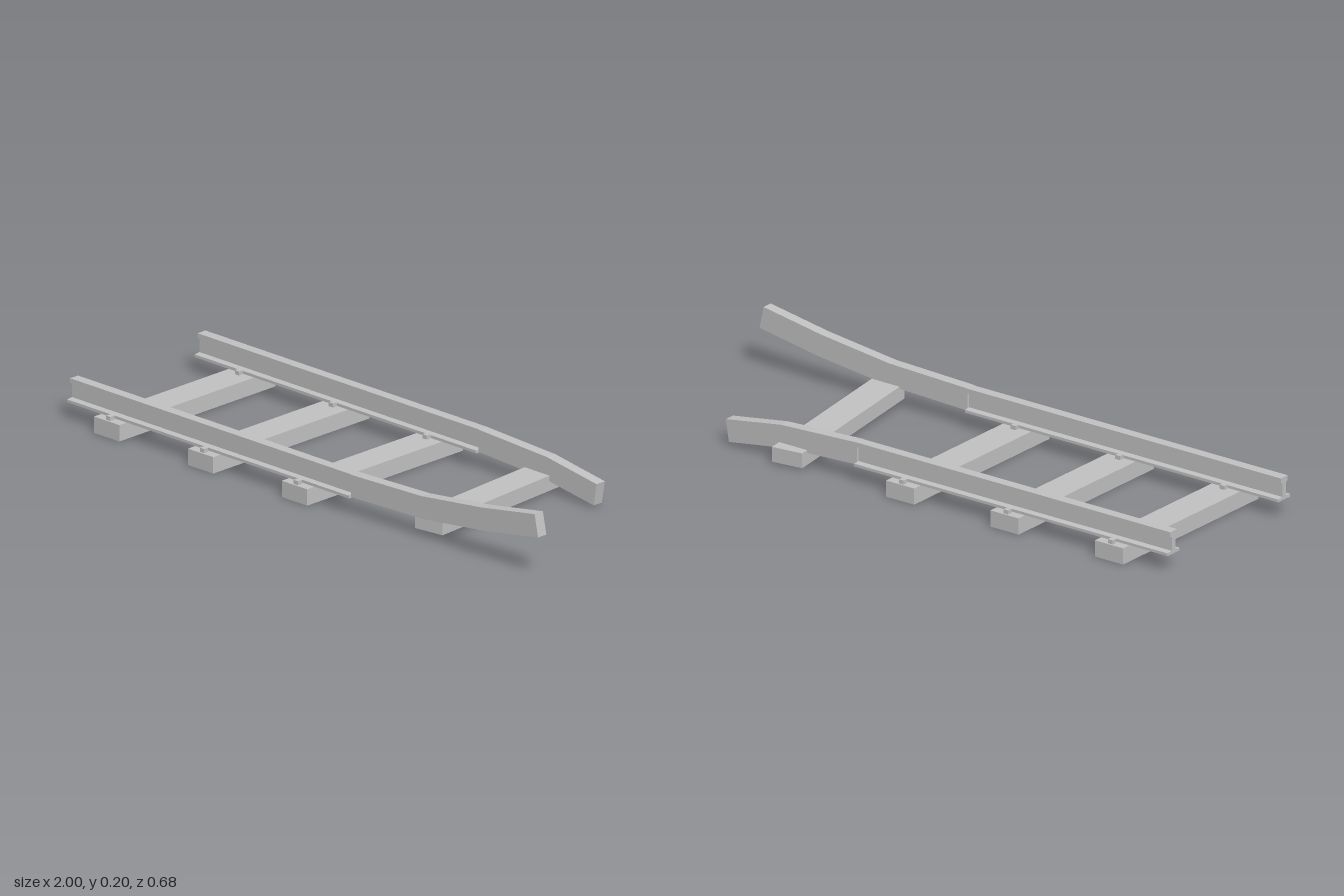
import * as THREE from 'three';

export function createModel() {
  const model = new THREE.Group();
  model.name = 'brokenTrack';
  const grey = new THREE.MeshStandardMaterial({ color: 0xc0c0c0 });
  grey.name = 'grey';

  const add = (name, geometry, x = 0, y = 0, z = 0) => {
    const mesh = new THREE.Mesh(geometry, grey);
    mesh.name = name;
    mesh.position.set(x, y, z);
    model.add(mesh);
    return mesh;
  };
  const outline = (pts) => new THREE.Shape(pts.map(([a, b]) => new THREE.Vector2(a, b)));
  const extrude = (pts, depth) =>
    new THREE.ExtrudeGeometry(outline(pts), { depth, bevelEnabled: false });

  // Straight rails: I-shaped section swept along x
  const half = [[0.03, 0.053], [0.03, 0.062], [0.009, 0.064], [0.009, 0.108], [0.017, 0.112], [0.017, 0.127]];
  const section = [...half, ...half.slice().reverse().map(([z, y]) => [-z, y])];
  for (const [side, z] of [['front', 0.276], ['back', -0.276]]) {
    add(side + 'Rail', extrude(section, 1.2).rotateY(Math.PI / 2), -1, 0, z);
  }

  // Bent solid rail ends: one curls up, the other sags
  const bends = {
    frontBentRail: [[0.2, 0.055], [0.51, 0.064], [0.77, 0.093], [0.997, 0.131],
      [0.982, 0.203], [0.758, 0.166], [0.5, 0.136], [0.2, 0.127]],
    backBentRail: [[0.2, 0.055], [0.475, 0.042], [0.69, 0.009],
      [0.702, 0.081], [0.49, 0.114], [0.2, 0.127]],
  };
  add('frontBentRail', extrude(bends.frontBentRail, 0.036), 0, 0, 0.26);
  add('backBentRail', extrude(bends.backBentRail, 0.036), 0, 0, -0.293);

  // Sleepers with a bolt on each side of each rail
  for (const x of [-0.8, -0.4, 0]) {
    add('sleeper', new THREE.BoxGeometry(0.108, 0.053, 0.676), x, 0.0265, 0);
    for (const z of [-0.323, -0.235, 0.235, 0.323]) {
      add('bolt', new THREE.BoxGeometry(0.018, 0.016, 0.018), x, 0.058, z);
    }
  }

  // Loose sleeper, skewed and tilted
  const loose = add('looseSleeper', new THREE.BoxGeometry(0.106, 0.049, 0.614), 0.478, 0.038, -0.024);
  loose.rotation.set(-0.025, 0.125, 0, 'YXZ');

  return model;
}
